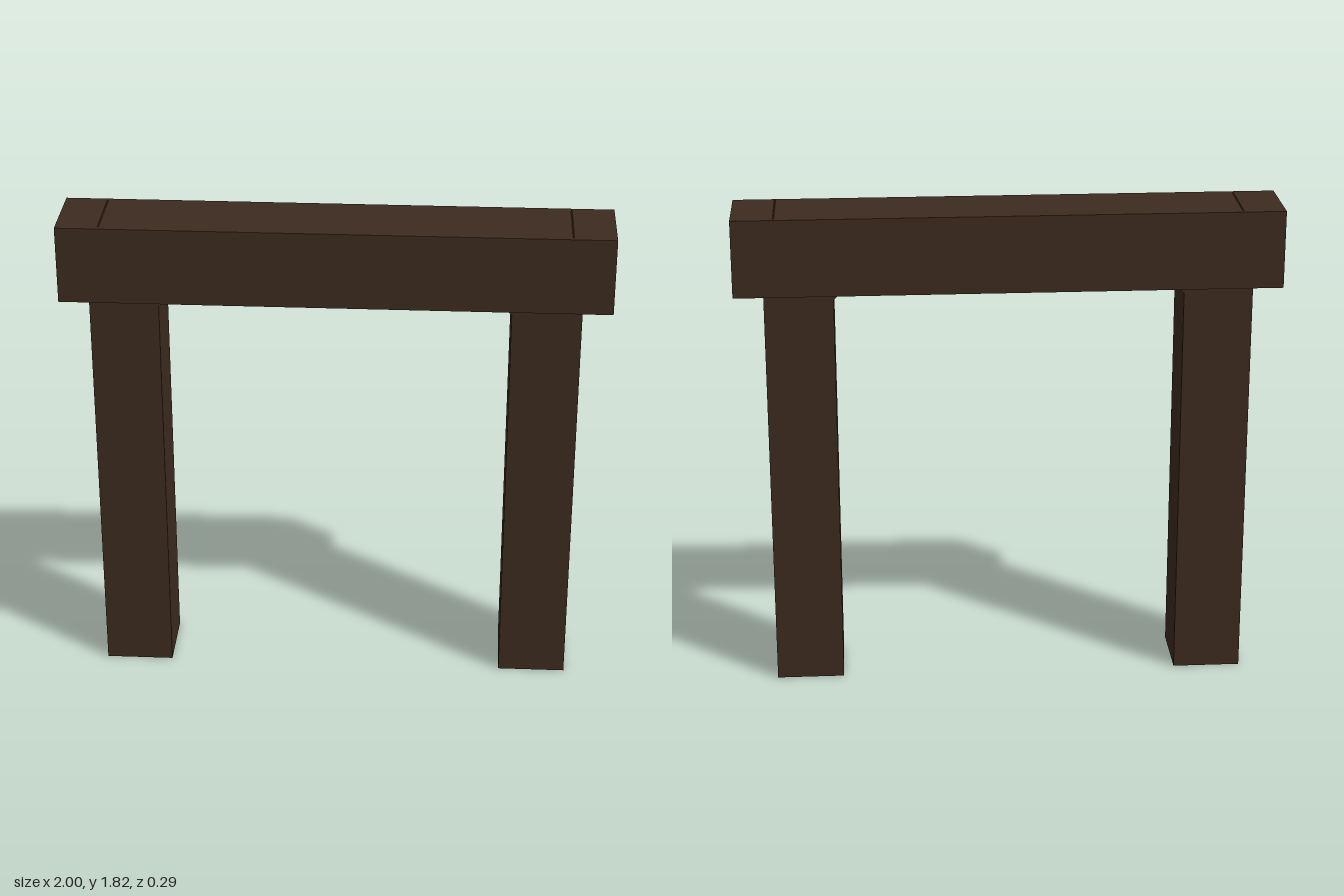
import * as THREE from 'three';

export function createModel() {
  const group = new THREE.Group();
  const wood = new THREE.MeshStandardMaterial({ color: 0x3d2b1f });
  wood.name = 'dark wood';

  const addBox = (name, size, position) => {
    const mesh = new THREE.Mesh(new THREE.BoxGeometry(...size), wood);
    mesh.name = name;
    mesh.position.set(...position);
    group.add(mesh);
    return mesh;
  };

  // Lintel across the top
  addBox('lintel', [2, 0.288, 0.286], [0, 1.676, 0]);

  for (const [side, s] of [['left', 1], ['right', -1]]) {
    // Upright post
    addBox(side + 'Post', [0.253, 1.532, 0.254], [s * 0.764, 0.766, 0]);
    // Diagonal brace let into the joint, its corners just breaking the surface
    const brace = addBox(side + 'Brace', [0.366, 0.182, 0.25], [s * 0.78, 1.629, 0]);
    brace.rotation.z = s * Math.PI / 4;
  }
  return group;
}
